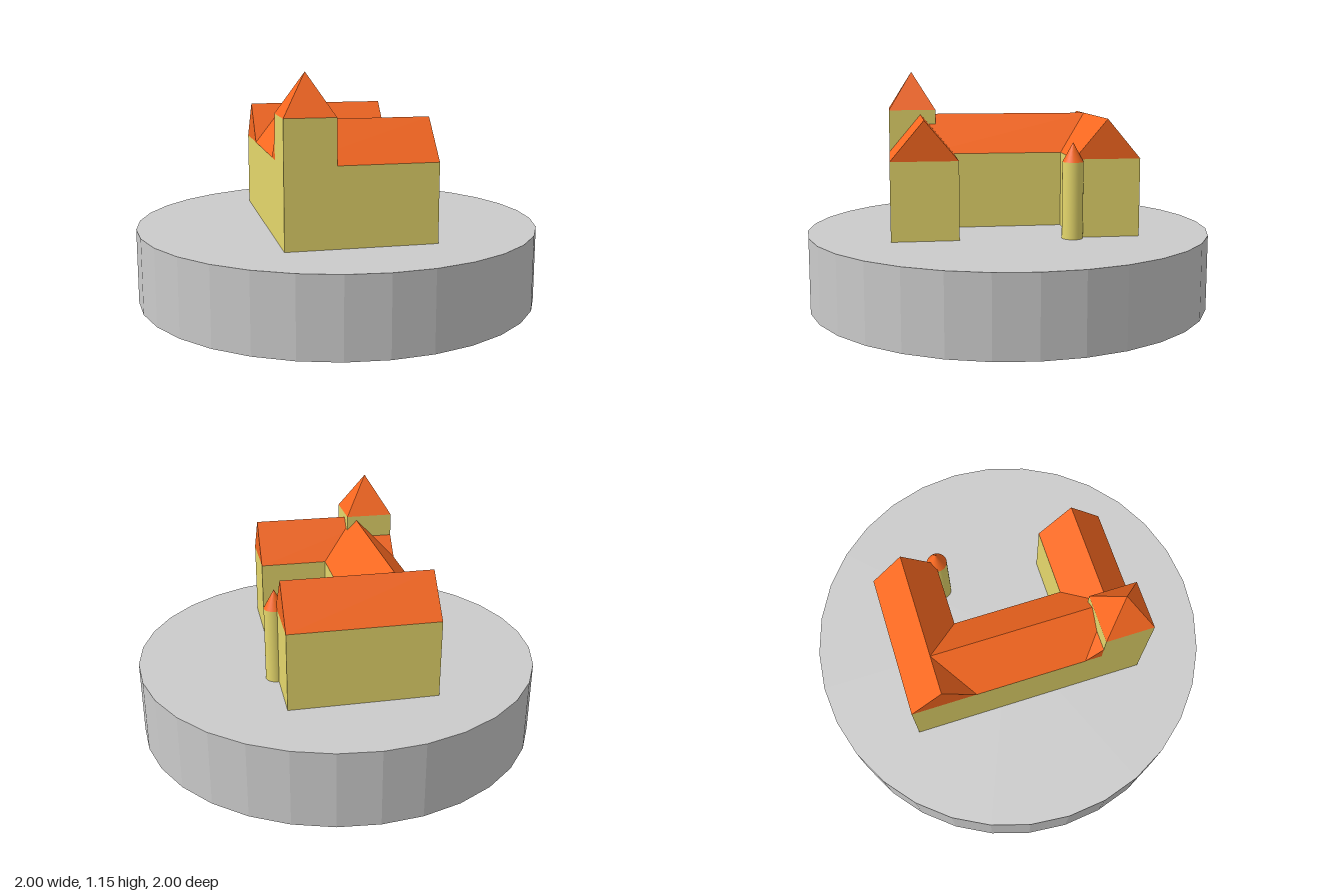
import * as THREE from 'three';

const WALL = 0xe6d86c, ROOF = 0xf86820, STONE = 0xcccccc;
const GROUND = 0.37, EAVE = 0.745, RIDGE = 0.935;
const X0 = -0.37, X1 = 0.34, COURT_X = 0.005, Z_OUT = 0.592, Z_IN = 0.272;
const RIDGE_X = (X0 + COURT_X) / 2, RIDGE_Z = (Z_OUT + Z_IN) / 2;

function addMesh(parent, name, geometry, color, flatShading = true) {
  const mesh = new THREE.Mesh(geometry, new THREE.MeshStandardMaterial({ color, flatShading }));
  mesh.name = name;
  parent.add(mesh);
  return mesh;
}

// Gabled roof prism, ridge along z, eaves at y = 0
function gableRoof(width, length) {
  const triangle = new THREE.Shape([
    new THREE.Vector2(-width / 2, 0),
    new THREE.Vector2(width / 2, 0),
    new THREE.Vector2(0, RIDGE - EAVE),
  ]);
  return new THREE.ExtrudeGeometry(triangle, { depth: length, bevelEnabled: false })
    .translate(0, 0, -length / 2);
}

export function createModel() {
  const model = new THREE.Group();
  model.name = 'castleOnPlinth';

  // Round plinth
  addMesh(model, 'plinth', new THREE.CylinderGeometry(1, 1, GROUND, 32), STONE)
    .position.y = GROUND / 2;

  // C-shaped walls around the courtyard
  const plan = new THREE.Shape([
    [X0, -Z_OUT], [X1, -Z_OUT], [X1, -Z_IN], [COURT_X, -Z_IN],
    [COURT_X, Z_IN], [X1, Z_IN], [X1, Z_OUT], [X0, Z_OUT],
  ].map(([x, y]) => new THREE.Vector2(x, y)));
  const walls = new THREE.ExtrudeGeometry(plan, { depth: EAVE - GROUND, bevelEnabled: false });
  addMesh(model, 'walls', walls.rotateX(-Math.PI / 2), WALL).position.y = GROUND;

  // Main roof, running into the two wing roofs
  addMesh(model, 'mainRoof', gableRoof(COURT_X - X0, 2 * RIDGE_Z), ROOF)
    .position.set(RIDGE_X, EAVE, 0);

  // Wing roofs, front and back
  for (const [name, side] of [['frontWingRoof', 1], ['backWingRoof', -1]]) {
    const roof = gableRoof(Z_OUT - Z_IN, X1 - X0).rotateY(Math.PI / 2);
    addMesh(model, name, roof, ROOF).position.set((X0 + X1) / 2, EAVE, side * RIDGE_Z);
  }

  // Square corner tower with a pyramid roof
  const tower = new THREE.Group();
  tower.name = 'tower';
  const size = 0.237, towerTop = 0.957, towerTip = 1.15;
  tower.position.set(X0 + size / 2, 0, Z_OUT - size / 2);
  addMesh(tower, 'towerWalls', new THREE.BoxGeometry(size, towerTop - GROUND, size), WALL)
    .position.y = (towerTop + GROUND) / 2;
  const pyramid = new THREE.ConeGeometry(size * Math.SQRT1_2, towerTip - towerTop, 4, 1, false, Math.PI / 4);
  addMesh(tower, 'towerRoof', pyramid, ROOF).position.y = (towerTop + towerTip) / 2;
  model.add(tower);

  // Slim round turret at the courtyard corner of the back wing
  const turret = new THREE.Group();
  turret.name = 'turret';
  const radius = 0.05, turretTop = 0.735, turretTip = 0.827;
  turret.position.set(0.347, 0, -0.264);
  addMesh(turret, 'turretWall', new THREE.CylinderGeometry(radius, radius, turretTop - GROUND, 32), WALL, false)
    .position.y = (turretTop + GROUND) / 2;
  addMesh(turret, 'turretRoof', new THREE.ConeGeometry(radius, turretTip - turretTop, 32), ROOF, false)
    .position.y = (turretTop + turretTip) / 2;
  model.add(turret);

  return model;
}
